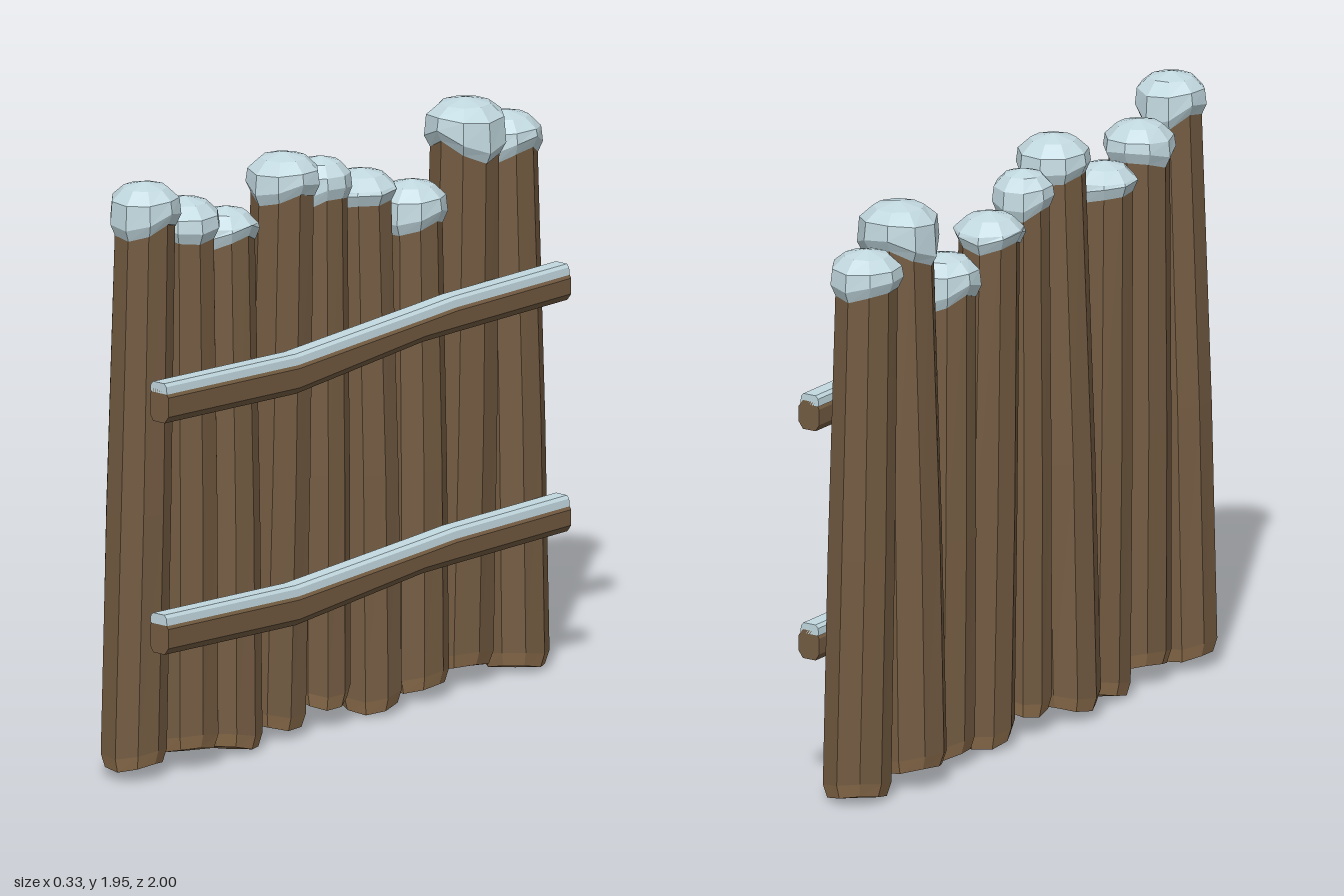
import * as THREE from 'three';

const wood = new THREE.MeshStandardMaterial({ color: 0x745c42, flatShading: true });
wood.name = 'wood';
const cutWood = new THREE.MeshStandardMaterial({ color: 0x937350, flatShading: true });
cutWood.name = 'cutWood';
const snow = new THREE.MeshStandardMaterial({ color: 0xc2d9e0, flatShading: true });
snow.name = 'snow';

// Closed skin through rings of [x, y, z]; each ring runs counter-clockwise seen from the last ring's side.
function loft(name, rings, material, startTip, endTip) {
  const pos = [];
  const n = rings[0].length;
  const centre = ring => [0, 1, 2].map(k => ring.reduce((s, p) => s + p[k], 0) / n);
  const first = rings[0], last = rings[rings.length - 1];
  const c0 = startTip || centre(first), c1 = endTip || centre(last);
  for (let j = 0; j < n; j++) {
    const k = (j + 1) % n;
    pos.push(...c0, ...first[k], ...first[j], ...c1, ...last[j], ...last[k]);
    for (let i = 0; i + 1 < rings.length; i++) {
      const [a, b, c, d] = [rings[i][j], rings[i][k], rings[i + 1][k], rings[i + 1][j]];
      pos.push(...a, ...b, ...c, ...a, ...c, ...d);
    }
  }
  const geo = new THREE.BufferGeometry();
  geo.setAttribute('position', new THREE.Float32BufferAttribute(pos, 3));
  geo.computeVertexNormals();
  const mesh = new THREE.Mesh(geo, material);
  mesh.name = name;
  return mesh;
}

const SIDES = 9;

// Horizontal ring, with an optional height rule by angle.
function ring(x, y, z, r, turn, lift = () => 0) {
  return Array.from({ length: SIDES }, (_, i) => {
    const a = (i / SIDES) * Math.PI * 2 + turn;
    return [x + r * Math.cos(a), y + lift(a), z - r * Math.sin(a)];
  });
}

// One leaning log with a worn cut foot and a snow cap.
function post({ z, top, foot, r, cap, x0, x1, depth, wave }, index) {
  const g = new THREE.Group();
  g.name = 'post' + (index + 1);
  const turn = index * 0.37;
  const rTop = r * 0.94;
  const footLift = a => 0.012 * Math.cos(2 * a + index);

  const footRing = ring(x0, foot + 0.065, z, r, turn, footLift);
  g.add(loft('log', [
    footRing,
    ring(x0 * 0.6 + x1 * 0.4, top * 0.45, z, r * 0.985, turn + 0.03),
    ring(x1, top - 0.055, z, rTop * 0.96, turn)
  ], wood));
  g.add(loft('cutFoot', [
    ring(x0, foot + 0.02, z, r * 0.87, turn, footLift),
    footRing
  ], cutWood, [x0, foot, z]));

  // Hem rises and falls around the log; the crown is a low faceted dome.
  const hem = a => wave * Math.cos(2 * a) + 0.008 * Math.sin(3 * a + index);
  g.add(loft('snowCap', [
    ring(x1, top - depth - 0.025, z, rTop * 0.98, turn, hem),
    ring(x1, top - depth + 0.012, z, cap, turn, hem),
    ring(x1, top - 0.055, z, cap * 0.95, turn, a => hem(a) * 0.2),
    ring(x1, top - 0.018, z, cap * 0.62, turn)
  ], snow, null, [x1, top, z]));
  return g;
}

// Crosspiece following a gentle bend, with a strip of snow on top.
function rail(name, dy) {
  const g = new THREE.Group();
  g.name = name;
  // z, underside, top of wood
  const path = [
    [-0.962, 1.22, 1.315], [-0.42, 1.222, 1.318], [-0.27, 1.222, 1.31],
    [0.33, 1.175, 1.282], [0.955, 1.205, 1.312]
  ];
  const beam = path.map(([z, lo, hi]) => [
    [0.1, lo], [0.148, lo], [0.164, lo + 0.022], [0.164, hi - 0.022],
    [0.148, hi], [0.1, hi], [0.086, hi - 0.022], [0.086, lo + 0.022]
  ].map(([x, y]) => [x, y + dy, z]));
  const strip = path.map(([z, , hi]) => [
    [0.088, hi - 0.012], [0.158, hi - 0.012], [0.155, hi + 0.012],
    [0.146, hi + 0.022], [0.1, hi + 0.022], [0.09, hi + 0.012]
  ].map(([x, y]) => [x, y + dy, z]));
  g.add(loft('beam', beam, wood), loft('snowStrip', strip, snow));
  return g;
}

export function createModel() {
  const model = new THREE.Group();
  model.name = 'snowyPalisade';
  // z, top, foot, log radius, cap radius, x at foot, x at top, snow depth, hem wave
  [
    [0.887, 1.957, 0.03, 0.107, 0.115, -0.045, 0.005, 0.13, 0.03],
    [0.668, 1.86, 0.05, 0.108, 0.117, -0.015, -0.022, 0.105, -0.01],
    [0.45, 1.78, 0.01, 0.1, 0.107, -0.02, -0.04, 0.08, 0.015],
    [0.225, 1.92, 0.03, 0.112, 0.12, -0.045, 0.003, 0.115, 0.015],
    [0.02, 1.86, 0.06, 0.093, 0.1, -0.02, -0.022, 0.115, 0.02],
    [-0.19, 1.775, 0.01, 0.108, 0.117, -0.005, -0.037, 0.08, 0.01],
    [-0.418, 1.695, 0.03, 0.106, 0.114, -0.01, -0.025, 0.125, 0.025],
    [-0.648, 1.92, 0.05, 0.122, 0.132, -0.043, -0.003, 0.14, -0.035],
    [-0.882, 1.825, 0.01, 0.11, 0.118, -0.002, -0.04, 0.11, 0.02]
  ].forEach(([z, top, foot, r, cap, x0, x1, depth, wave], i) =>
    model.add(post({ z, top, foot, r, cap, x0, x1, depth, wave }, i)));
  model.add(rail('upperRail', 0), rail('lowerRail', -0.755));
  return model;
}
